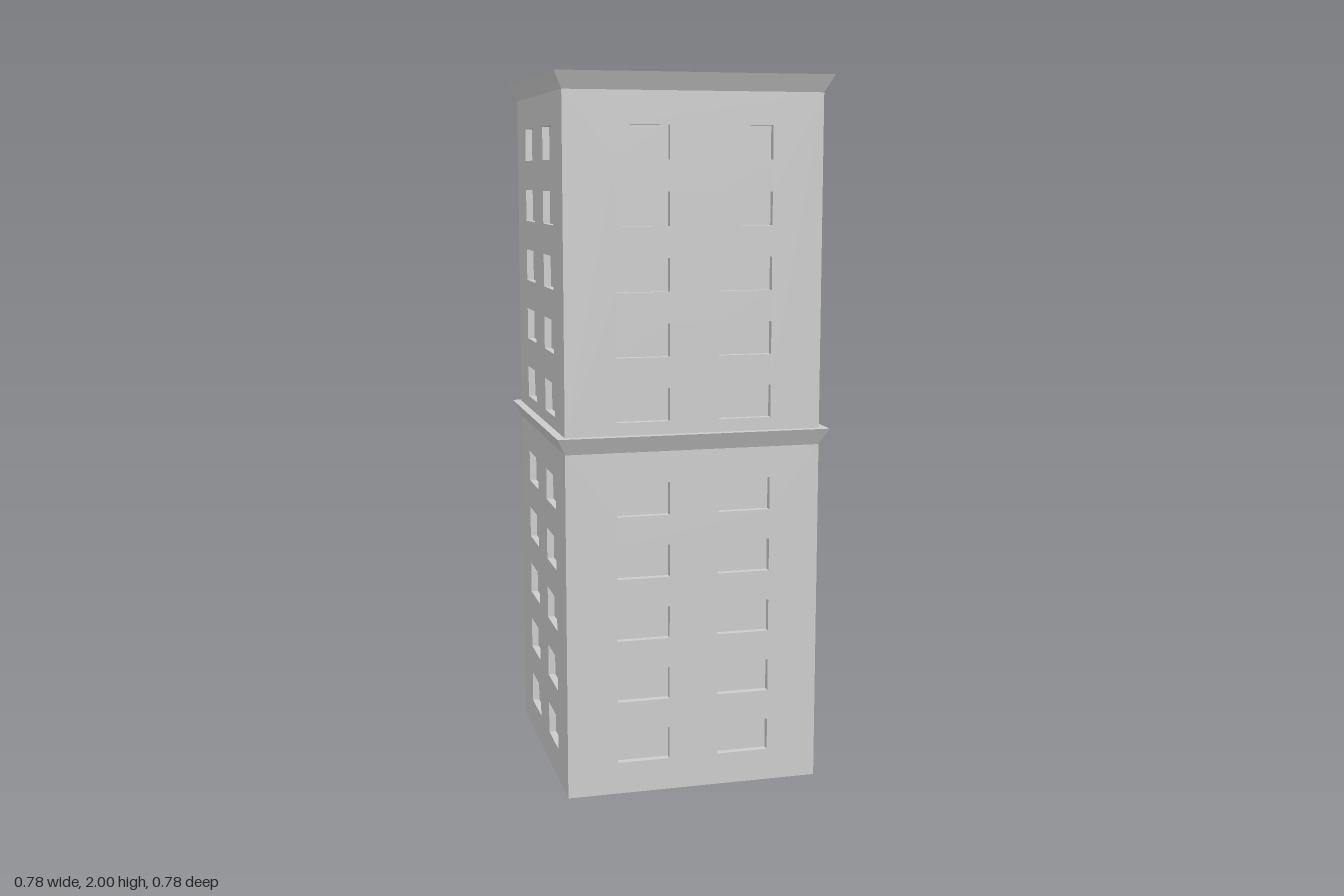
import * as THREE from 'three';
import { mergeGeometries } from 'three/addons/utils/BufferGeometryUtils.js';

const HALF = 0.364;       // half width of the tower
const EAVE = 0.388;       // half width at the cornice top
const WIN_W = 0.15, WIN_H = 0.092, DEPTH = 0.02;
const WIN_X = 0.145, ROWS = 5, PITCH = 0.1772;

const material = new THREE.MeshStandardMaterial({ color: 0xcccccc, flatShading: true });

function addMesh(parent, name, geometry) {
  const mesh = new THREE.Mesh(geometry, material);
  mesh.name = name;
  parent.add(mesh);
  return mesh;
}

// Centres of the windows on one wall; skipFirst leaves out the bottom one on the left
function windowCentres(firstRow, skipFirst) {
  const centres = [];
  for (let row = 0; row < ROWS; row++) {
    for (const x of [-WIN_X, WIN_X]) {
      if (skipFirst && row === 0 && x < 0) continue;
      centres.push([x, firstRow + row * PITCH]);
    }
  }
  return centres;
}

function rectanglePoints(x0, y0, x1, y1) {
  return [[x0, y0], [x1, y0], [x1, y1], [x0, y1]].map(([x, y]) => new THREE.Vector2(x, y));
}

// Flat wall pierced by its windows
function wallGeometry(y0, y1, centres) {
  const shape = new THREE.Shape(rectanglePoints(-HALF, y0, HALF, y1));
  for (const [x, y] of centres) {
    shape.holes.push(new THREE.Path(
      rectanglePoints(x - WIN_W / 2, y - WIN_H / 2, x + WIN_W / 2, y + WIN_H / 2).reverse()));
  }
  return new THREE.ShapeGeometry(shape);
}

// Pane, sill, lintel and two jambs set back behind the wall
function recessGeometry([x, y]) {
  const pane = new THREE.PlaneGeometry(WIN_W, WIN_H).translate(0, 0, -DEPTH);
  const parts = [pane];
  for (const s of [-1, 1]) {
    parts.push(new THREE.PlaneGeometry(WIN_W, DEPTH)
      .rotateX(s * Math.PI / 2).translate(0, s * WIN_H / 2, -DEPTH / 2));
    parts.push(new THREE.PlaneGeometry(DEPTH, WIN_H)
      .rotateY(-s * Math.PI / 2).translate(s * WIN_W / 2, 0, -DEPTH / 2));
  }
  return mergeGeometries(parts).translate(x, y, 0);
}

// Square band flaring outwards to a flat top
function corniceGeometry(y0, y1) {
  return new THREE.CylinderGeometry(EAVE * Math.SQRT2, HALF * Math.SQRT2, y1 - y0, 4)
    .rotateY(Math.PI / 4).translate(0, (y0 + y1) / 2, 0);
}

export function createModel() {
  const tower = new THREE.Group();
  tower.name = 'towerBlock';

  const sections = [
    { name: 'lower', y0: 0, y1: 0.98, top: 1.027, firstRow: 0.137 },
    { name: 'upper', y0: 1.027, y1: 1.953, top: 2, firstRow: 1.109 },
  ];
  const sides = ['front', 'left', 'back', 'right'];

  for (const { name, y0, y1, top, firstRow } of sections) {
    const section = new THREE.Group();
    section.name = name + 'Section';
    tower.add(section);

    sides.forEach((side, i) => {
      // The back has no window in one bottom corner
      const centres = windowCentres(firstRow, name === 'lower' && side === 'back');
      const face = new THREE.Group();
      face.name = side + 'Face';
      addMesh(face, 'wall', wallGeometry(y0, y1, centres).translate(0, 0, HALF));
      addMesh(face, 'windows', mergeGeometries(centres.map(recessGeometry)).translate(0, 0, HALF));
      face.rotation.y = i * Math.PI / 2;
      section.add(face);
    });

    addMesh(section, 'cornice', corniceGeometry(y1, top));
  }

  // Underside
  addMesh(tower, 'base', new THREE.PlaneGeometry(2 * HALF, 2 * HALF).rotateX(Math.PI / 2));

  return tower;
}
